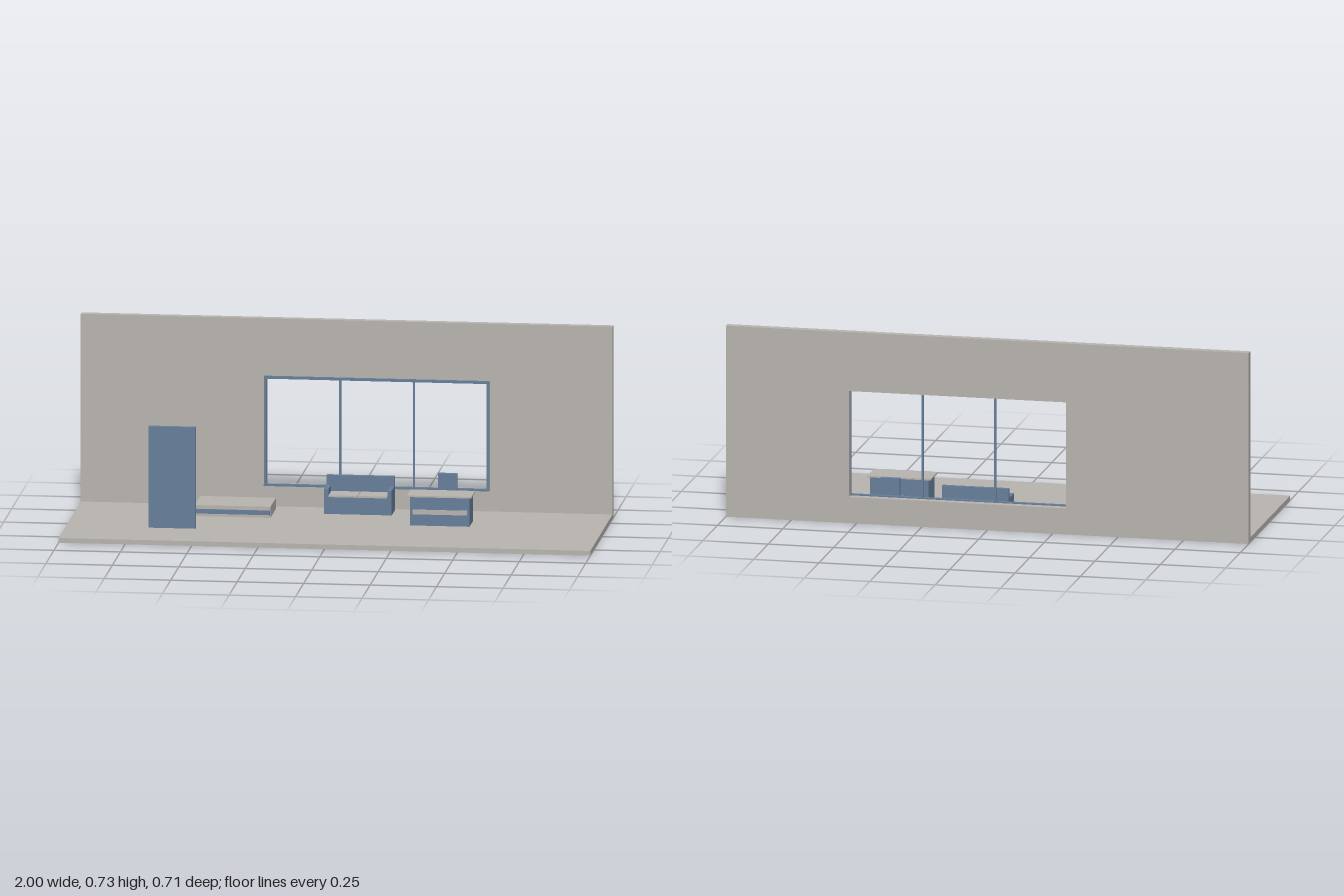
import * as THREE from 'three';

const stone = new THREE.MeshStandardMaterial({ color: 0xb8b3af });
stone.name = 'warm grey';
const blue = new THREE.MeshStandardMaterial({ color: 0x67809a });
blue.name = 'slate blue';

// Box given by its lower and upper limits on each axis
function box(parent, name, material, [x0, x1], [y0, y1], [z0, z1]) {
  const mesh = new THREE.Mesh(new THREE.BoxGeometry(x1 - x0, y1 - y0, z1 - z0), material);
  mesh.position.set((x0 + x1) / 2, (y0 + y1) / 2, (z0 + z1) / 2);
  mesh.name = name;
  parent.add(mesh);
  return mesh;
}

function group(parent, name) {
  const g = new THREE.Group();
  g.name = name;
  parent.add(g);
  return g;
}

function rectangle(PathType, x0, x1, y0, y1) {
  return new PathType([[x0, y0], [x1, y0], [x1, y1], [x0, y1]].map(([x, y]) => new THREE.Vector2(x, y)));
}

export function createModel() {
  const room = new THREE.Group();
  room.name = 'room';
  const ground = 0.018;
  const wallFront = -0.328;

  // Floor and back wall with a window opening
  box(room, 'floor', stone, [-1, 1], [0, ground], [wallFront, 0.357]);
  const wallShape = rectangle(THREE.Shape, -1, 1, 0, 0.733);
  wallShape.holes.push(rectangle(THREE.Path, -0.302, 0.529, 0.1, 0.507));
  const wall = new THREE.Mesh(
    new THREE.ExtrudeGeometry(wallShape, { depth: 0.029, bevelEnabled: false }), stone);
  wall.position.z = -0.357;
  wall.name = 'backWall';
  room.add(wall);

  // Window frame, mullions and sill
  const win = group(room, 'window');
  const frameZ = [wallFront, -0.319];
  box(win, 'frameTop', blue, [-0.31, 0.537], [0.505, 0.515], frameZ);
  for (const [name, x] of [['frameRight', -0.31], ['frameLeft', 0.527]])
    box(win, name, blue, [x, x + 0.01], [0.105, 0.505], frameZ);
  for (const x of [-0.024, 0.254])
    box(win, 'mullion', blue, [x - 0.004, x + 0.004], [0.105, 0.505], frameZ);
  box(win, 'sill', blue, [-0.31, 0.537], [0.097, 0.105], [wallFront, -0.314]);

  // Free-standing panel
  box(room, 'standingPanel', blue, [-0.69, -0.513], [ground, 0.404], [0.109, 0.125]);

  // Low bed with a strip along its front
  const bed = group(room, 'bed');
  box(bed, 'bedBase', stone, [-0.545, -0.26], [ground, 0.06], [-0.281, -0.11]);
  box(bed, 'bedFrontStrip', blue, [-0.543, -0.262], [0.029, 0.046], [-0.11, -0.105]);

  // Sofa with two cushions
  const sofa = group(room, 'sofa');
  box(sofa, 'sofaBase', blue, [-0.054, 0.168], [ground, 0.083], [-0.289, -0.209]);
  box(sofa, 'sofaBack', blue, [-0.07, 0.184], [ground, 0.15], [-0.305, -0.289]);
  for (const x of [-0.07, 0.168])
    box(sofa, 'sofaArm', blue, [x, x + 0.016], [ground, 0.112], [-0.289, -0.209]);
  for (const x of [-0.053, 0.058])
    box(sofa, 'sofaCushion', stone, [x, x + 0.109], [0.083, 0.09], [-0.289, -0.205]);

  // Chair
  const chair = group(room, 'chair');
  box(chair, 'chairSeat', blue, [0.348, 0.42], [ground, 0.083], [-0.285, -0.208]);
  box(chair, 'chairBack', blue, [0.348, 0.42], [ground, 0.167], [-0.301, -0.285]);

  // Desk with an overhanging top and a drawer strip
  const desk = group(room, 'desk');
  box(desk, 'deskBody', blue, [0.274, 0.498], [ground, 0.127], [-0.135, -0.035]);
  box(desk, 'deskTop', stone, [0.263, 0.506], [0.127, 0.133], [-0.143, -0.028]);
  box(desk, 'drawerStrip', stone, [0.284, 0.488], [0.061, 0.079], [-0.035, -0.032]);

  return room;
}
